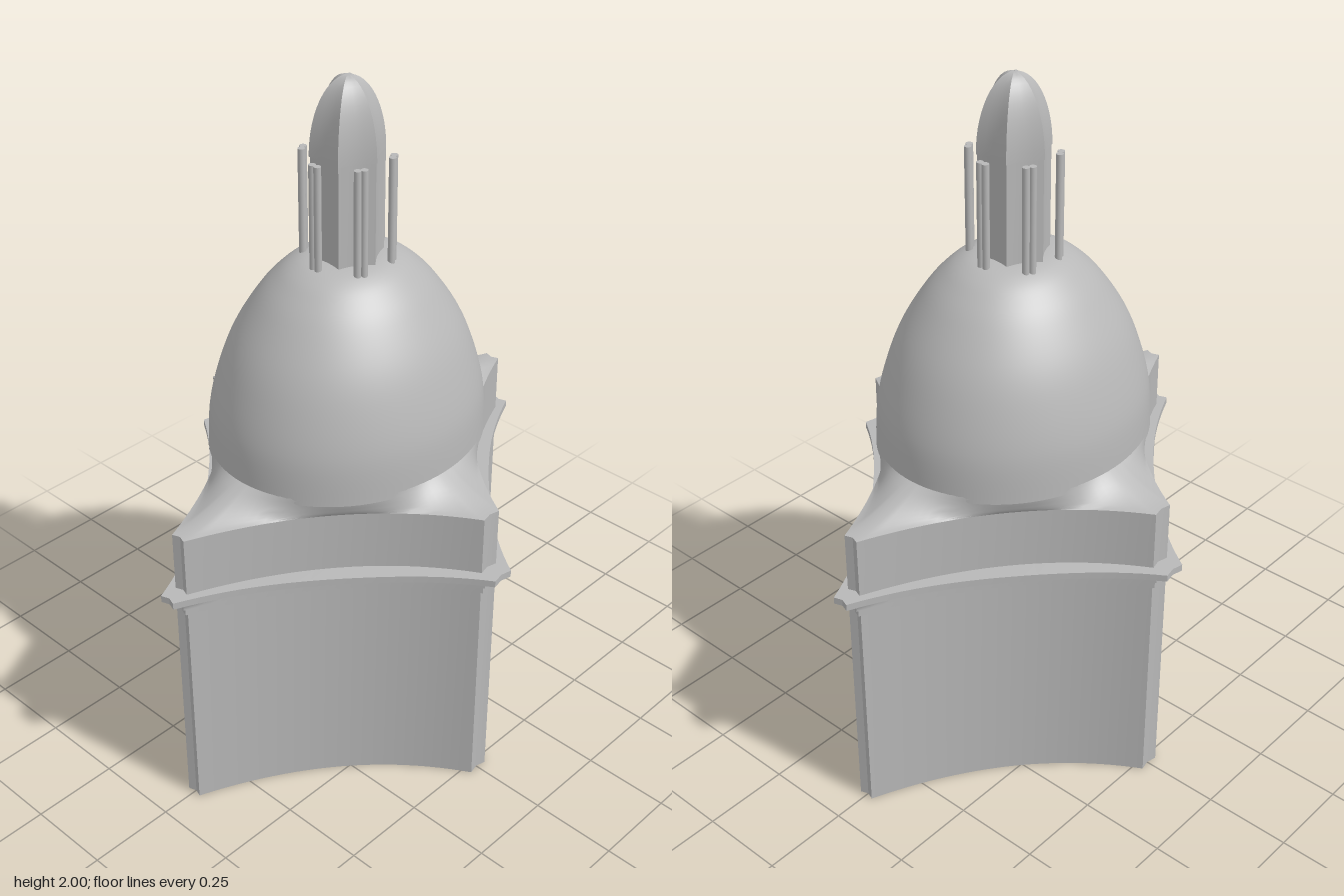
import * as THREE from 'three';
import { toCreasedNormals } from 'three/addons/utils/BufferGeometryUtils.js';

const stone = new THREE.MeshStandardMaterial({ color: 0xb8b8b8, side: THREE.DoubleSide });
stone.name = 'stone grey';

// Skin closed rings of [x, y, z] points, listed from bottom to top
function loft(rings, crease = 0.6) {
  const n = rings[0].length, index = [];
  for (let i = 0; i < rings.length - 1; i++) {
    for (let j = 0; j < n; j++) {
      const a = i * n + j, b = i * n + (j + 1) % n;
      index.push(a, a + n, b, b, a + n, b + n);
    }
  }
  const geo = new THREE.BufferGeometry();
  geo.setAttribute('position', new THREE.Float32BufferAttribute(rings.flat(2), 3));
  geo.setIndex(index);
  return toCreasedNormals(geo, crease);
}

// Four-pointed plan with concave sides and blunt, slightly hollow tips
function planOutline() {
  const curve = new THREE.QuadraticBezierCurve(
    new THREE.Vector2(0.64, 0.022), new THREE.Vector2(0.22, 0.19), new THREE.Vector2(0.03, 0.527));
  const q = curve.getPoints(24).map(p => [p.x, p.y]);
  const r = [...q].reverse();
  return [
    ...q, [0, 0.52], ...r.map(([x, z]) => [-x, z]), [-0.632, 0],
    ...q.map(([x, z]) => [-x, -z]), [0, -0.52], ...r.map(([x, z]) => [x, -z]), [0.632, 0],
  ];
}

// The plan pushed outward by d at height y
const planRing = (plan, d, y) => plan.map(([x, z]) => {
  const k = 1 + d / Math.hypot(x, z);
  return [x * k, y, z * k];
});

// Hexagon with slightly hollow sides, corners on the z axis
function hexRing(radius, y) {
  const ring = [], steps = 4;
  for (let i = 0; i < 6; i++) {
    const a = Math.PI / 2 + i * Math.PI / 3, b = a + Math.PI / 3;
    for (let s = 0; s < steps; s++) {
      const t = s / steps, k = radius * (1 - 0.28 * t * (1 - t));
      ring.push([
        k * (Math.cos(a) * (1 - t) + Math.cos(b) * t), y,
        k * (Math.sin(a) * (1 - t) + Math.sin(b) * t)]);
    }
  }
  return ring;
}

export function createModel() {
  const model = new THREE.Group();
  model.name = 'domedPavilion';
  const add = (name, geo, parent = model) => {
    const mesh = new THREE.Mesh(geo, stone);
    mesh.name = name;
    parent.add(mesh);
    return mesh;
  };

  const plan = planOutline();
  const band = profile => loft(profile.map(([d, y]) => planRing(plan, d, y)));

  // Walls, stepped cornice and the band above it
  add('walls', band([[0, 0], [0, 0.67]]));
  add('cornice', band([[0, 0.67], [0.008, 0.67], [0.008, 0.688], [0.014, 0.69], [0.014, 0.7],
    [0.03, 0.712], [0.05, 0.715], [0.05, 0.735], [0, 0.735]]));
  add('parapet', band([[0, 0.735], [0, 0.91]]));

  // Roof sweeping from the pointed plan up to the oval foot of the dome
  const domeX = 0.41, domeZ = 0.36, roofRings = [];
  for (let i = 0; i <= 8; i++) {
    const s = i / 8;
    roofRings.push(plan.map(([x, z]) => {
      const k = 1 / Math.hypot(x / domeX, z / domeZ);
      const m = 1 + (k - 1) * s;
      return [x * m, 0.91 + 0.062 * Math.pow(s, 1.6), z * m];
    }));
  }
  add('roof', loft(roofRings));

  // Oval dome
  const domeCurve = new THREE.SplineCurve([
    [0.411, 0.955], [0.402, 1.08], [0.369, 1.2], [0.325, 1.3], [0.257, 1.4],
    [0.2, 1.458], [0.155, 1.488], [0.11, 1.502], [0.05, 1.505], [0, 1.505],
  ].map(([r, y]) => new THREE.Vector2(r, y)));
  const dome = add('dome', new THREE.LatheGeometry(domeCurve.getPoints(48), 96));
  dome.scale.z = domeZ / domeX;

  // Lantern: hollow-sided core, paired columns and pointed cap
  const lantern = new THREE.Group();
  lantern.name = 'lantern';
  model.add(lantern);
  add('lanternCore', loft([hexRing(0.1, 1.49), hexRing(0.1, 1.79)], 0.4), lantern);

  const capRings = [hexRing(0.001, 1.79)];
  for (let i = 0; i <= 14; i++) {
    const a = i / 14 * Math.PI / 2;
    capRings.push(hexRing(Math.max(0.103 * Math.cos(a), 0.0005), 1.79 + 0.21 * Math.sin(a)));
  }
  add('lanternCap', loft(capRings, 0.4), lantern);

  const columnGeo = new THREE.CylinderGeometry(0.01, 0.01, 0.3, 16);
  for (let i = 0; i < 6; i++) {
    const pair = new THREE.Group();
    pair.name = 'columnPair';
    pair.rotation.y = i * Math.PI / 3;
    lantern.add(pair);
    for (const side of [-1, 1]) {
      add('column', columnGeo, pair).position.set(0.12, 1.642, side * 0.009);
    }
  }
  return model;
}
